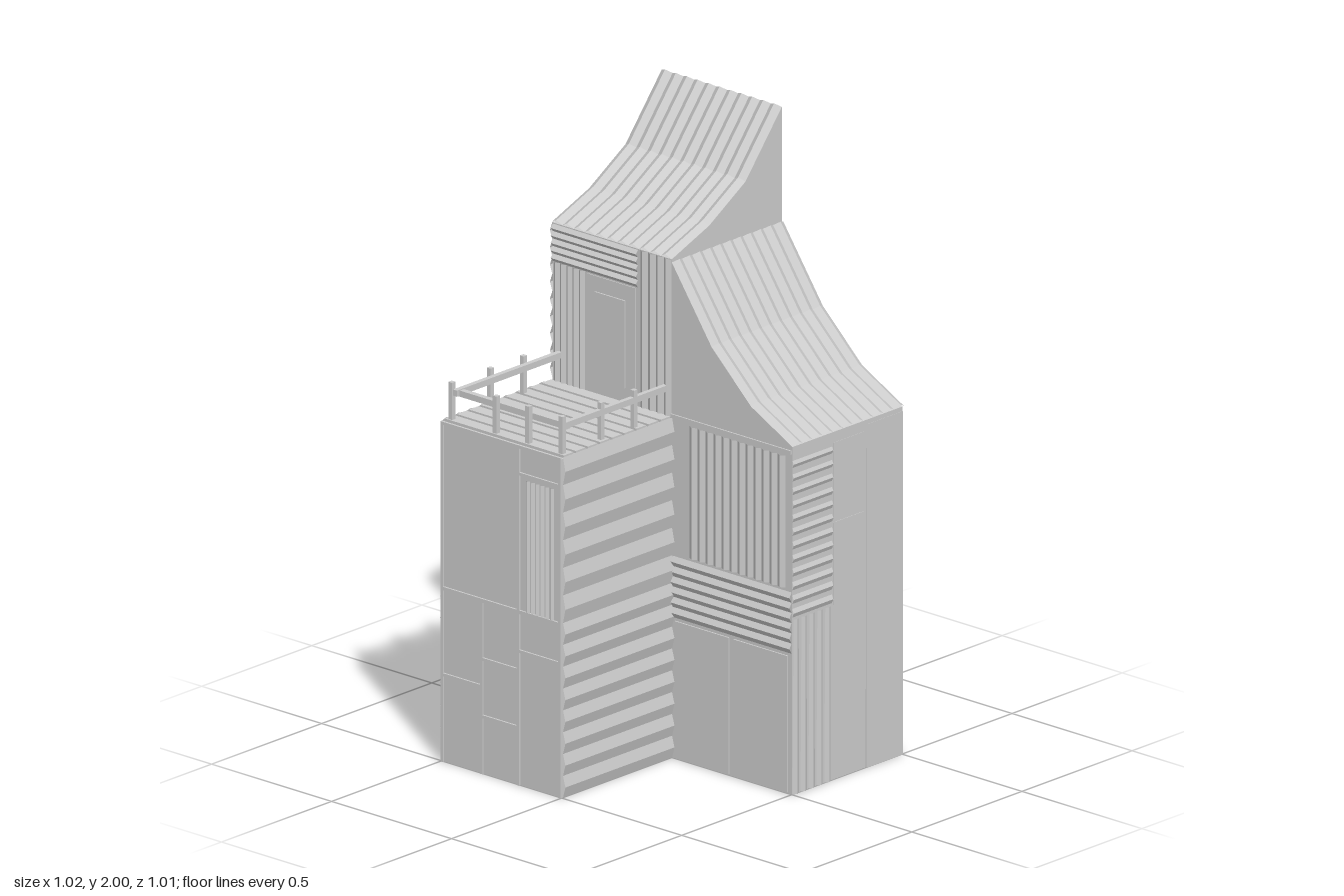
import * as THREE from 'three';

const material = new THREE.MeshStandardMaterial({ color: 0xcccccc, flatShading: true, side: THREE.DoubleSide });
const V = (x, y, z) => new THREE.Vector3(x, y, z);

export function createModel() {
  const model = new THREE.Group();
  model.name = 'corrugatedHouse';

  const add = (name, geometry) => {
    const mesh = new THREE.Mesh(geometry, material);
    mesh.name = name;
    model.add(mesh);
    return mesh;
  };

  // Box given by its limits on each axis
  const box = (name, x0, x1, y0, y1, z0, z1) => {
    const g = new THREE.BoxGeometry(x1 - x0, y1 - y0, z1 - z0);
    return add(name, g.translate((x0 + x1) / 2, (y0 + y1) / 2, (z0 + z1) / 2));
  };

  // Zigzag sheet: the path is swept, waves run along "across"; outward = across x path direction
  const corrugate = (name, path, across, waves, depth = 0.011) => {
    const normals = path.map((p, i) => {
      const dir = path[Math.min(i + 1, path.length - 1)].clone().sub(path[Math.max(i - 1, 0)]);
      return across.clone().cross(dir).normalize();
    });
    const columns = waves * 2;
    const positions = [];
    const index = [];
    path.forEach((p, j) => {
      for (let i = 0; i <= columns; i++) {
        const v = p.clone().addScaledVector(across, i / columns).addScaledVector(normals[j], i % 2 ? depth : 0.001);
        positions.push(v.x, v.y, v.z);
        if (j && i) {
          const d = j * (columns + 1) + i, c = d - 1, b = d - columns - 1, a = b - 1;
          index.push(a, b, d, a, d, c);
        }
      }
    });
    const g = new THREE.BufferGeometry();
    g.setAttribute('position', new THREE.Float32BufferAttribute(positions, 3));
    g.setIndex(index);
    const flat = g.toNonIndexed();
    flat.computeVertexNormals();
    return add(name, flat);
  };

  // Corrugated wall panel; u runs along x on front walls and along z on side walls
  const wall = (name, side, plane, u0, u1, y0, y1, waves, horizontal) => {
    const at = (u, y) => (side === 'front' ? V(u, y, plane) : V(plane, y, u));
    const [s, e] = side === 'right' ? [u1, u0] : [u0, u1];
    if (horizontal) corrugate(name, [at(e, y0), at(s, y0)], V(0, y1 - y0, 0), waves);
    else corrugate(name, [at(s, y0), at(s, y1)], at(e, 0).sub(at(s, 0)), waves);
  };

  // Prism from a side profile
  const prism = (name, points, depth) => {
    const shape = new THREE.Shape(points.map(([a, b]) => new THREE.Vector2(a, b)));
    return add(name, new THREE.ExtrudeGeometry(shape, { depth, bevelEnabled: false }));
  };

  // Main volumes
  const towerRoof = [[0, 1.625], [0.17, 1.69], [0.335, 1.79], [0.5, 1.99]];
  const wingRoof = [[0, 1.615], [0.165, 1.38], [0.33, 1.225], [0.503, 1.135]];
  const tower = prism('tower', [[0, 0], [0.5, 0], ...towerRoof.slice().reverse()], 0.495);
  tower.rotation.y = Math.PI / 2;
  tower.position.x = -0.495;
  const wing = prism('wing', [[0, 0], [0.5, 0], ...wingRoof.slice().reverse()], 0.5);
  wing.position.z = -0.5;
  box('frontBlock', -0.5, 0, 0, 1.105, 0, 0.5);

  // Curved corrugated roofs
  corrugate('towerRoof', towerRoof.map(([d, y]) => V(-0.5, y, -d)), V(0.5, 0, 0), 11, 0.014);
  corrugate('wingRoof', wingRoof.map(([x, y]) => V(x, y, -0.505)), V(0, 0, 0.505), 11, 0.014);

  // Side walls of the front block
  wall('frontBlockRightLower', 'right', 0, 0, 0.495, 0, 0.57, 8, true);
  wall('frontBlockRightUpper', 'right', 0, 0, 0.495, 0.57, 1.11, 6, true);
  wall('frontBlockLeftLower', 'left', -0.5, 0.01, 0.495, 0, 0.57, 8, true);
  wall('frontBlockLeftUpper', 'left', -0.5, 0.01, 0.495, 0.57, 1.11, 9, false);

  // Left walls of the tower
  wall('towerLeftLower', 'left', -0.497, -0.5, 0, 0, 1.12, 11, false);
  wall('towerLeftUpper', 'left', -0.497, -0.5, 0, 1.12, 1.625, 9, true);

  // Right wall of the wing
  wall('wingRightLower', 'right', 0.497, -0.18, 0, 0, 0.57, 5, false);
  wall('wingRightUpper', 'right', 0.497, -0.18, 0, 0.57, 1.1, 12, true);
  box('wingRightPanelLow', 0.5, 0.504, 0.57, 0.84, -0.325, -0.185);
  box('wingRightPanelHigh', 0.5, 0.504, 0.85, 1.1, -0.325, -0.185);
  box('wingRightPanelBack', 0.5, 0.504, 0, 1.12, -0.5, -0.335);

  // Front of the front block: battens around flat panels and a slatted panel
  const battens = [
    [-0.5, -0.49, 0, 1.11], [-0.335, -0.325, 0, 0.56], [-0.182, -0.172, 0, 1.11], [-0.01, 0, 0, 1.11],
    [-0.5, 0, 0.56, 0.572], [-0.5, 0, 1.1, 1.11], [-0.49, -0.335, 0.28, 0.29],
    [-0.325, -0.182, 0.183, 0.193], [-0.325, -0.182, 0.37, 0.38], [-0.172, -0.01, 0.433, 0.443],
    [-0.172, -0.01, 1.012, 1.022],
  ];
  battens.forEach(([x0, x1, y0, y1]) => box('frontBatten', x0, x1, y0, y1, 0.5, 0.506));
  wall('frontSlats', 'front', 0.497, -0.15, -0.03, 0.572, 1.0, 6, false);

  // Front of the wing: double door, boards, vertical ribs
  box('wingDoorLeft', 0.015, 0.24, 0.005, 0.45, 0, 0.005);
  box('wingDoorRight', 0.26, 0.485, 0.005, 0.45, 0, 0.005);
  wall('wingBoards', 'front', 0, 0.005, 0.5, 0.46, 0.66, 6, true);
  wall('wingRibs', 'front', 0, 0.075, 0.475, 0.67, 1.1, 12, false);
  box('wingEaveTrim', 0, 0.5, 1.11, 1.122, 0, 0.005);

  // Front of the tower above the deck
  wall('towerBoards', 'front', 0, -0.495, -0.14, 1.5, 1.622, 5, true);
  wall('towerRibsLeft', 'front', 0, -0.49, -0.36, 1.11, 1.5, 5, false);
  wall('towerRibsRight', 'front', 0, -0.13, 0, 1.11, 1.625, 4, false);
  box('deckDoorSurround', -0.35, -0.15, 1.11, 1.495, 0, 0.003);
  box('deckDoor', -0.315, -0.19, 1.16, 1.445, 0, 0.008);

  // Deck planks
  for (let i = 0; i < 9; i++) {
    const z = 0.005 + i * 0.055;
    box('deckPlank', -0.498, -0.002, 1.1, 1.114, z, z + 0.043);
  }

  // Railing
  const posts = [[-0.48, 0.475], [-0.295, 0.475], [-0.16, 0.475], [-0.02, 0.475],
    [-0.48, 0.3], [-0.48, 0.15], [-0.02, 0.3], [-0.02, 0.15]];
  posts.forEach(([x, z]) => box('railPost', x - 0.008, x + 0.008, 1.11, 1.235, z - 0.008, z + 0.008));
  box('railFront', -0.465, -0.012, 1.19, 1.21, 0.448, 0.467);
  box('railLeft', -0.472, -0.455, 1.193, 1.213, 0, 0.48);
  box('railRight', -0.028, -0.012, 1.193, 1.213, 0, 0.475);

  return model;
}
